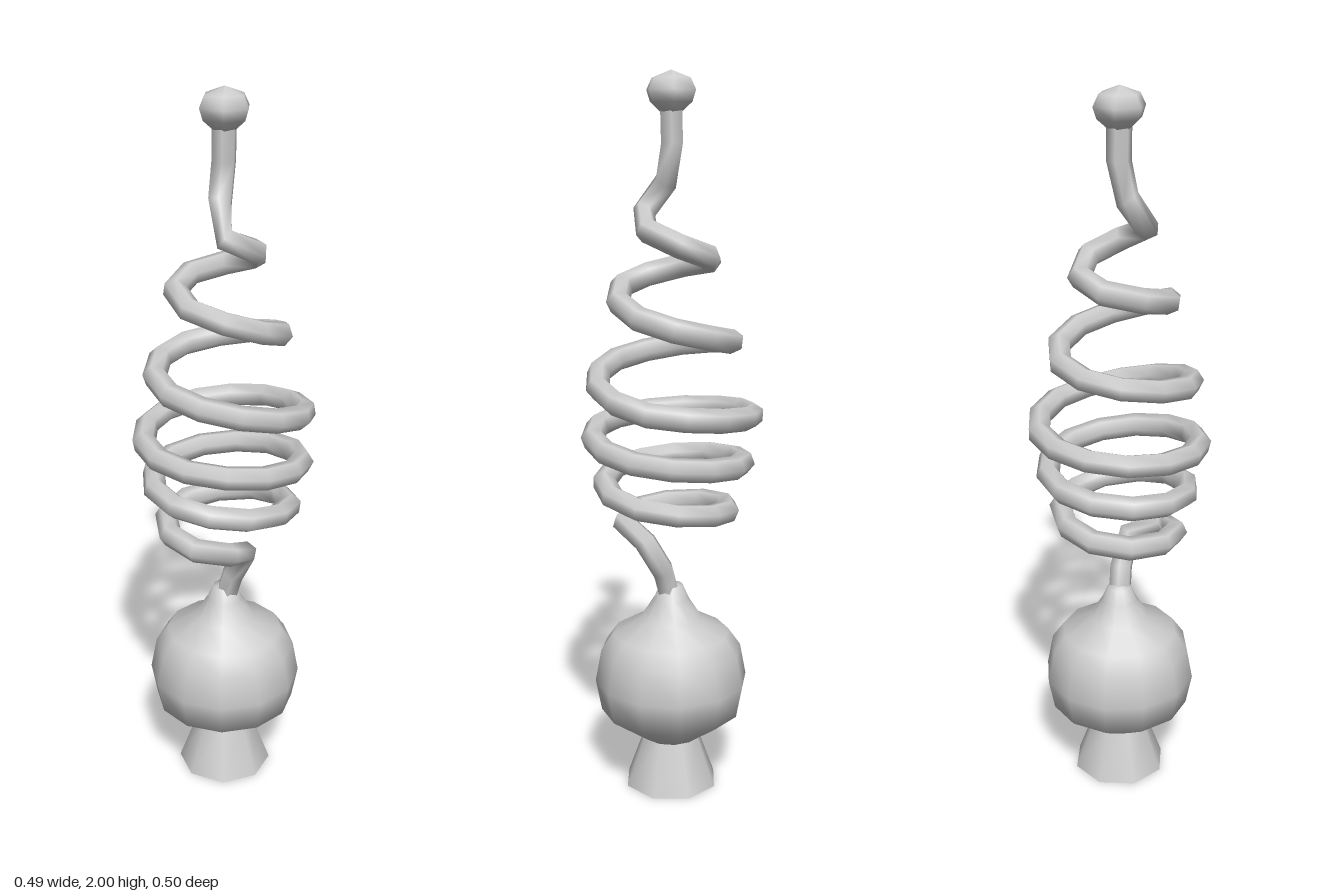
import * as THREE from 'three';

const material = new THREE.MeshStandardMaterial({ color: 0xcccccc });

function addPart(group, name, geometry) {
  const mesh = new THREE.Mesh(geometry, material);
  mesh.name = name;
  group.add(mesh);
  return mesh;
}

// Solid of revolution from [radius, height] pairs listed bottom to top
function turned(profile, sides) {
  return new THREE.LatheGeometry(profile.map(([r, y]) => new THREE.Vector2(r, y)), sides);
}

// Coil radius and height at each quarter turn, starting at the front (+z) and winding via -x
const coilRadii = [0.155, 0.168, 0.16, 0.182, 0.188, 0.202, 0.198, 0.212, 0.218, 0.223, 0.223,
  0.218, 0.198, 0.188, 0.168, 0.153, 0.143, 0.128, 0.108, 0.093, 0.075];
const coilHeights = [0.78, 0.805, 0.83, 0.865, 0.91, 0.94, 0.965, 1.0, 1.045, 1.07, 1.1,
  1.14, 1.215, 1.265, 1.305, 1.365, 1.44, 1.49, 1.525, 1.58, 1.64];

function wirePath() {
  const points = [
    new THREE.Vector3(0, 0.55, 0),
    new THREE.Vector3(0.01, 0.61, 0.005),
    new THREE.Vector3(0.06, 0.74, 0.055),
  ];
  const perQuarter = 3;
  const last = coilRadii.length - 1;
  for (let i = 0; i <= last * perQuarter; i++) {
    const k = Math.min(Math.floor(i / perQuarter), last - 1);
    const t = i / perQuarter - k;
    const radius = THREE.MathUtils.lerp(coilRadii[k], coilRadii[k + 1], t);
    const height = THREE.MathUtils.lerp(coilHeights[k], coilHeights[k + 1], t);
    const angle = (k + t + 1) * Math.PI / 2;
    points.push(new THREE.Vector3(radius * Math.cos(angle), height, radius * Math.sin(angle)));
  }
  points.push(
    new THREE.Vector3(-0.015, 1.685, 0.04),
    new THREE.Vector3(-0.005, 1.75, 0.004),
    new THREE.Vector3(0, 1.92, 0),
  );
  const path = new THREE.CatmullRomCurve3(points);
  path.arcLengthDivisions = 1000;
  return path;
}

export function createModel() {
  const model = new THREE.Group();
  model.name = 'coiledFinial';

  // Flared foot
  const foot = addPart(model, 'foot', new THREE.CylinderGeometry(0.08, 0.135, 0.15, 8));
  foot.position.y = 0.075;

  // Round body drawn in to a narrow neck
  addPart(model, 'body', turned([
    [0, 0.145], [0.083, 0.145], [0.2, 0.23], [0.217, 0.32], [0.2, 0.41],
    [0.165, 0.46], [0.085, 0.505], [0.05, 0.56], [0.033, 0.6], [0, 0.61],
  ], 12));

  // Wire: stem, widening and narrowing coil, upper stem
  const path = wirePath();
  const segments = Math.round(path.getLength() / 0.104);
  addPart(model, 'coil', new THREE.TubeGeometry(path, segments, 0.033, 6));

  // Faceted knob on top
  addPart(model, 'knob', turned([
    [0, 1.885], [0.025, 1.89], [0.06, 1.92], [0.07, 1.95], [0.055, 1.98], [0, 2],
  ], 6));

  return model;
}
